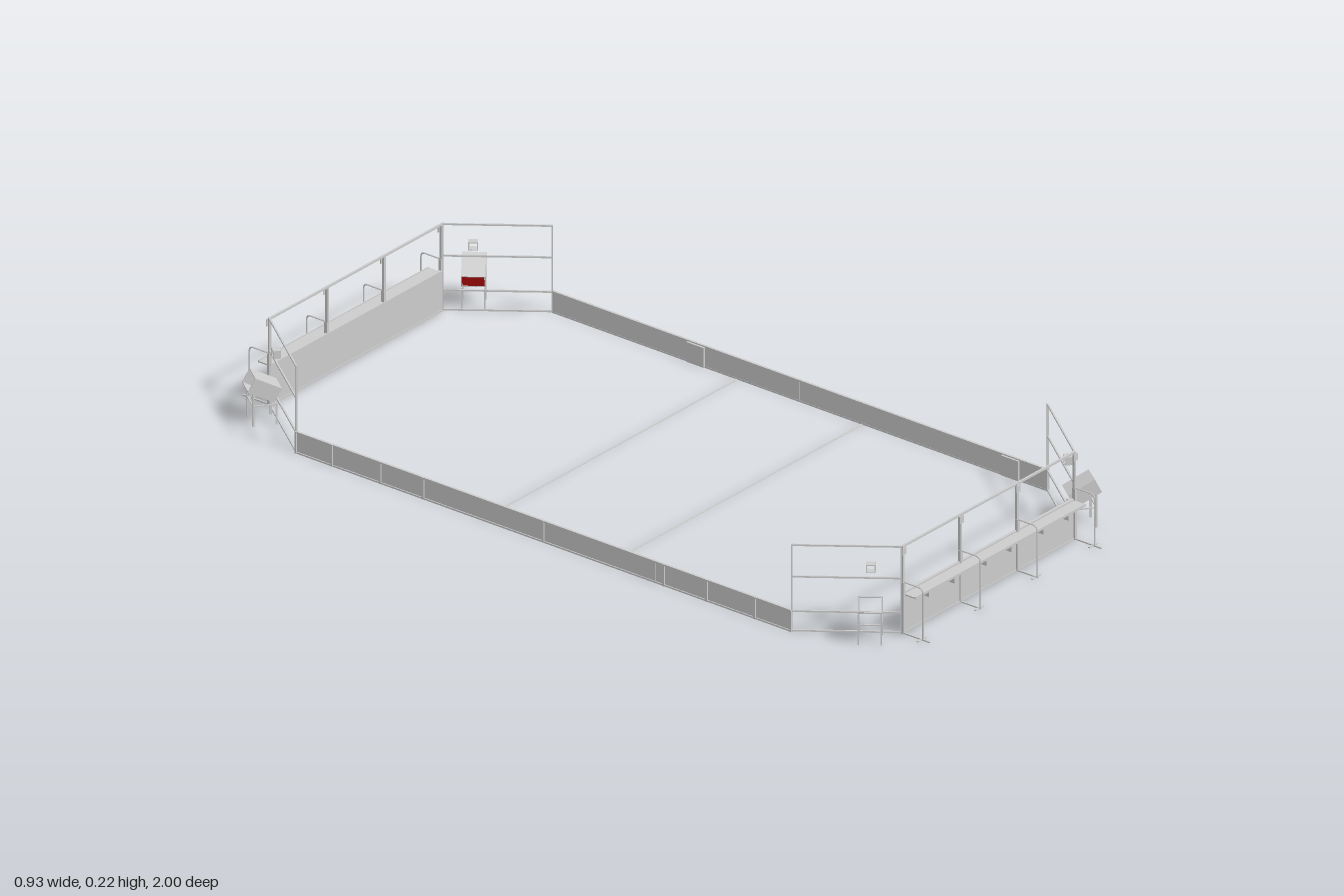
import * as THREE from 'three';

const grey = new THREE.MeshStandardMaterial({ color: 0xcccccc });
const red = new THREE.MeshStandardMaterial({ color: 0xcc1111 });

function box(parent, name, w, h, d, x, y, z, mat = grey) {
  const m = new THREE.Mesh(new THREE.BoxGeometry(w, h, d), mat);
  m.name = name;
  m.position.set(x, y, z);
  parent.add(m);
  return m;
}

// four-sided open duct running along z
function duct(parent, name, w, h, d, t) {
  const g = new THREE.Group();
  g.name = name;
  for (const s of [-1, 1]) {
    box(g, 'ductSide', t, h, d, s * (w - t) / 2, 0, 0);
    box(g, 'ductPlate', w - 2 * t, t, d, 0, s * (h - t) / 2, 0);
  }
  parent.add(g);
  return g;
}

// bent pipe support behind a wall post
function supportPipe(parent, x) {
  const path = new THREE.CurvePath();
  const v = (y, z) => new THREE.Vector3(x, y, z);
  path.add(new THREE.LineCurve3(v(0.13, 0.92), v(0.13, 0.968)));
  path.add(new THREE.QuadraticBezierCurve3(v(0.13, 0.968), v(0.13, 0.98), v(0.118, 0.98)));
  path.add(new THREE.LineCurve3(v(0.118, 0.98), v(0.002, 0.98)));
  const m = new THREE.Mesh(new THREE.TubeGeometry(path, 40, 0.002, 6), grey);
  m.name = 'supportPipe';
  parent.add(m);
}

// end wall with posts, top rail and rear shelf
function endWall() {
  const g = new THREE.Group();
  g.name = 'endWall';
  for (let i = 0; i < 3; i++) {
    box(g, 'wallPanel', 0.2, 0.098, 0.004, (i - 1) * 0.2053, 0.05, 0.92);
  }
  box(g, 'topRail', 0.622, 0.005, 0.005, 0, 0.2185, 0.92);
  box(g, 'wallCap', 0.616, 0.004, 0.007, 0, 0.101, 0.92);
  box(g, 'wallSill', 0.616, 0.004, 0.007, 0, 0.002, 0.92);
  box(g, 'shelf', 0.612, 0.003, 0.035, 0, 0.0975, 0.9395);
  box(g, 'shelfLip', 0.612, 0.006, 0.002, 0, 0.098, 0.956);
  for (const x of [-0.308, -0.102, 0.102, 0.308]) {
    box(g, 'post', 0.006, 0.22, 0.006, x, 0.11, 0.921);
    box(g, 'postBase', 0.008, 0.13, 0.008, x, 0.065, 0.922);
    box(g, 'gusset', 0.014, 0.018, 0.002, x, 0.208, 0.925);
    const outer = Math.abs(x) > 0.2;
    const reach = outer ? 0.08 : 0.062;
    box(g, 'foot', 0.004, 0.003, reach, x, 0.0015, 0.92 + reach / 2);
    box(g, 'footPad', 0.03, 0.002, 0.006, x, 0.001, 0.976);
    supportPipe(g, x);
  }
  // small brackets under the shelf
  for (const x of [-0.25, -0.16, -0.045, 0.045, 0.16, 0.25]) {
    box(g, 'shelfBracket', 0.002, 0.018, 0.03, x, 0.087, 0.937);
  }
  return g;
}

// angled corner frame with a loading chute; s = 1 for +x, -1 for -x
function corner(s) {
  const g = new THREE.Group();
  g.name = 'cornerStation';
  g.position.set(s * 0.385, 0, 0.82);
  g.rotation.y = s * Math.atan2(0.8, 0.6);
  for (const y of [0.003, 0.052, 0.139, 0.2185]) {
    box(g, 'frameRail', 0.25, 0.004, 0.004, 0, y, 0);
  }
  for (const x of [-0.124, 0.124]) {
    box(g, 'framePost', 0.004, 0.22, 0.004, x, 0.11, 0);
  }

  const station = new THREE.Group();
  station.name = 'loadingStation';
  station.position.x = -s * 0.055;
  g.add(station);

  // sloping chute, lower end toward the field
  const chute = duct(station, 'chute', 0.055, 0.038, 0.07, 0.002);
  chute.position.set(0, 0.088, 0.035);
  chute.rotation.x = -Math.atan2(0.034, 0.065);
  const flap = new THREE.Mesh(new THREE.PlaneGeometry(0.05, 0.034), red);
  flap.name = 'chuteFlap';
  flap.rotation.y = Math.PI;
  flap.position.z = -0.034;
  chute.add(flap);

  // small opening above the chute
  duct(station, 'upperOpening', 0.022, 0.02, 0.018, 0.002).position.set(0, 0.166, 0.002);

  // chute legs and braces
  for (const x of [-0.026, 0.026]) {
    box(station, 'frontLeg', 0.004, 0.054, 0.004, x, 0.027, 0.008);
    box(station, 'rearLeg', 0.004, 0.084, 0.004, x, 0.042, 0.062);
    box(station, 'sideBrace', 0.003, 0.003, 0.056, x, 0.05, 0.035);
  }
  box(station, 'crossBrace', 0.052, 0.003, 0.003, 0, 0.05, 0.062);
  return g;
}

// long low side barrier at +x
function sideBarrier() {
  const g = new THREE.Group();
  g.name = 'sideBarrier';
  const joints = [-0.72, -0.615, -0.475, -0.35, 0, 0.35, 0.475, 0.615, 0.72];
  for (let i = 0; i < joints.length - 1; i++) {
    const a = joints[i], b = joints[i + 1];
    box(g, 'barrierPanel', 0.003, 0.052, b - a - 0.002, 0.459, 0.027, (a + b) / 2);
  }
  box(g, 'barrierTopRail', 0.006, 0.004, 1.44, 0.46, 0.053, 0);
  box(g, 'barrierBottomRail', 0.006, 0.004, 1.44, 0.46, 0.002, 0);
  for (const z of joints) box(g, 'barrierPost', 0.006, 0.055, 0.005, 0.461, 0.0275, z);
  // gate latches
  for (const z of [-0.3, 0.615]) {
    box(g, 'gateLatch', 0.009, 0.05, 0.05, 0.4565, 0.027, z);
  }
  return g;
}

export function createModel() {
  const model = new THREE.Group();
  model.name = 'arena';
  // the two halves match under a half turn
  for (const turn of [0, Math.PI]) {
    const half = new THREE.Group();
    half.name = turn ? 'backHalf' : 'frontHalf';
    half.add(endWall(), corner(1), corner(-1), sideBarrier());
    box(half, 'floorLine', 0.918, 0.001, 0.006, 0, 0.0005, 0.182);
    half.rotation.y = turn;
    model.add(half);
  }
  return model;
}
